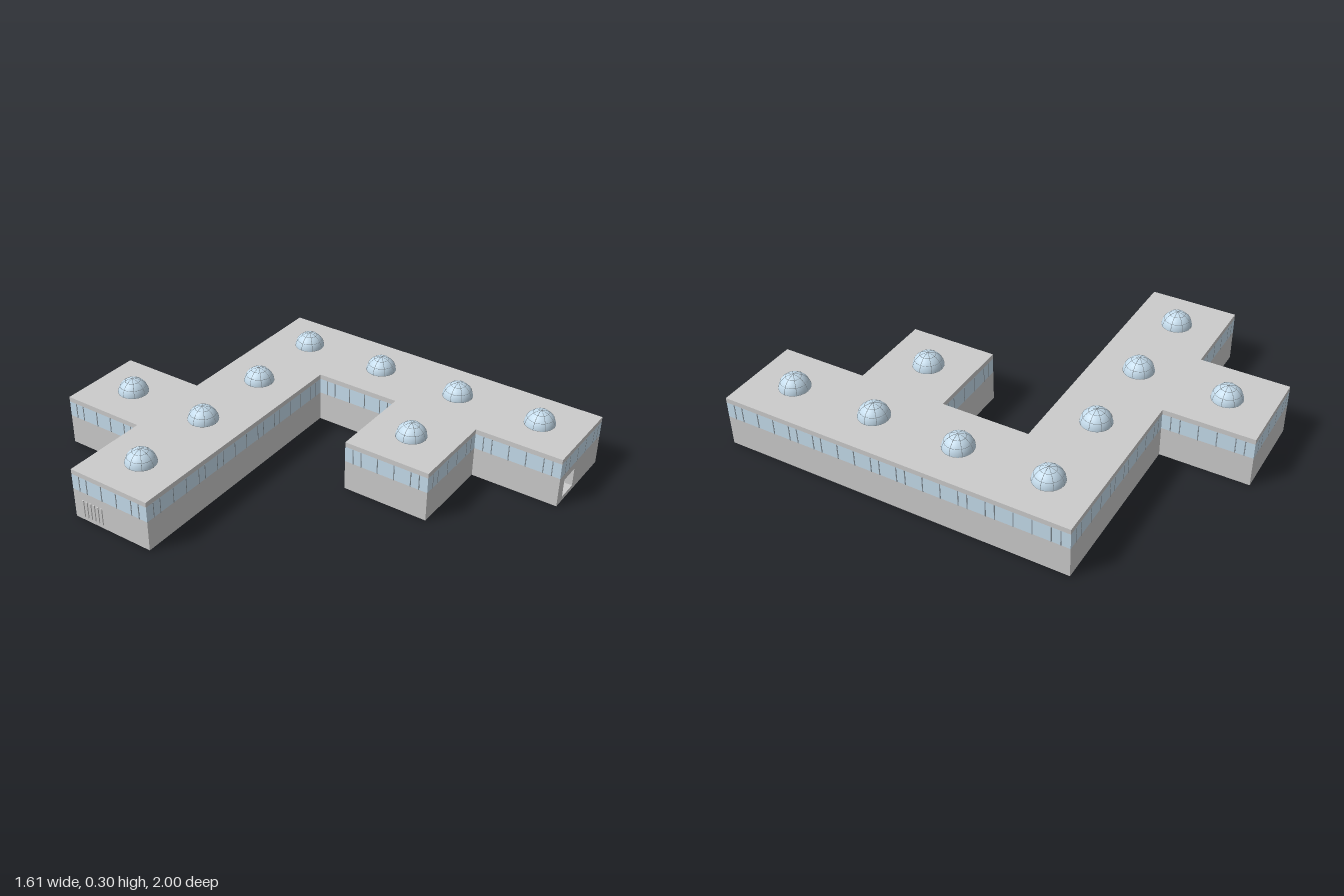
import * as THREE from 'three';

const CELL = 0.4, ROOF = 0.235;
// Footprint corners as [x, z]
const OUTLINE = [
  [-0.8, -0.6], [-0.4, -0.6], [-0.4, -1], [0, -1], [0, -0.6], [0.8, -0.6], [0.8, 1],
  [0.4, 1], [0.4, 0.6], [0, 0.6], [0, 0.2], [0.4, 0.2], [0.4, -0.2], [-0.8, -0.2],
];
// Dome centres, one per room
const ROOMS = [
  [-0.2, -0.8], [-0.6, -0.4], [-0.2, -0.4], [0.2, -0.4], [0.6, -0.4],
  [0.6, 0], [0.2, 0.4], [0.6, 0.4], [0.6, 0.8],
];

export function createModel() {
  const model = new THREE.Group();
  model.name = 'building';
  const grey = new THREE.MeshStandardMaterial({ color: 0xcccccc });
  const glass = new THREE.MeshStandardMaterial({ color: 0xc5dcec });
  const dark = new THREE.MeshStandardMaterial({ color: 0x8b979f });

  const add = (name, geometry, material, parent = model) => {
    const mesh = new THREE.Mesh(geometry, material);
    mesh.name = name;
    parent.add(mesh);
    return mesh;
  };

  // One horizontal layer of the building between two heights
  const layer = (name, points, y0, y1, material) => {
    const shape = new THREE.Shape(points.map(([x, z]) => new THREE.Vector2(x, -z)));
    const geometry = new THREE.ExtrudeGeometry(shape, { depth: y1 - y0, bevelEnabled: false });
    geometry.rotateX(-Math.PI / 2).translate(0, y0, 0);
    add(name, geometry, material);
  };

  // Walls, with a square recess in the front wing
  const recessed = [...OUTLINE];
  recessed.splice(7, 0, [0.55, 1], [0.55, 0.92], [0.45, 0.92], [0.45, 1]);
  layer('wallBase', OUTLINE, 0, 0.02, grey);
  layer('wallWithHatch', recessed, 0.02, 0.107, grey);
  layer('wallTop', OUTLINE, 0.107, 0.14, grey);
  layer('windowBand', OUTLINE, 0.14, 0.212, glass);
  layer('roof', OUTLINE, 0.212, ROOF, grey);

  // Thin window bars along every outside wall
  const mullions = new THREE.Group();
  mullions.name = 'windowBars';
  model.add(mullions);
  const bar = new THREE.BoxGeometry(0.004, 0.072, 0.004);
  OUTLINE.forEach(([x0, z0], i) => {
    const [x1, z1] = OUTLINE[(i + 1) % OUTLINE.length];
    const length = Math.hypot(x1 - x0, z1 - z0);
    const dx = (x1 - x0) / length, dz = (z1 - z0) / length;
    for (let start = 0; start < length - 0.01; start += CELL) {
      for (const offset of [0.04, 0.08, 0.16, 0.24, 0.32, 0.36]) {
        const d = start + offset;
        add('windowBar', bar, dark, mullions).position.set(x0 + dx * d, 0.176, z0 + dz * d);
      }
    }
  });

  // Slatted vent on the end of the left-hand wing
  const vent = new THREE.Group();
  vent.name = 'vent';
  model.add(vent);
  const slat = new THREE.BoxGeometry(0.01, 0.08, 0.009);
  for (let i = 0; i < 6; i++) {
    add('ventSlat', slat, grey, vent).position.set(-0.8, 0.06, -0.55 + i * 0.02);
  }

  // Glazed roof domes with ribs and rings
  const R = 0.068;
  const shell = new THREE.SphereGeometry(R, 24, 8, 0, Math.PI * 2, 0, Math.PI / 2);
  const rib = new THREE.TorusGeometry(R, 0.0011, 4, 24, Math.PI);
  for (const [x, z] of ROOMS) {
    const dome = new THREE.Group();
    dome.name = 'dome';
    dome.position.set(x, ROOF - 0.003, z);
    model.add(dome);
    add('domeGlass', shell, glass, dome);
    for (let i = 0; i < 4; i++) add('domeRib', rib, dark, dome).rotation.y = (i * Math.PI) / 4;
    for (const angle of [0.07, 0.55, 1.05]) {
      const ring = add('domeRing', new THREE.TorusGeometry(R * Math.cos(angle), 0.0011, 4, 24), dark, dome);
      ring.rotation.x = Math.PI / 2;
      ring.position.y = R * Math.sin(angle);
    }
  }
  return model;
}
